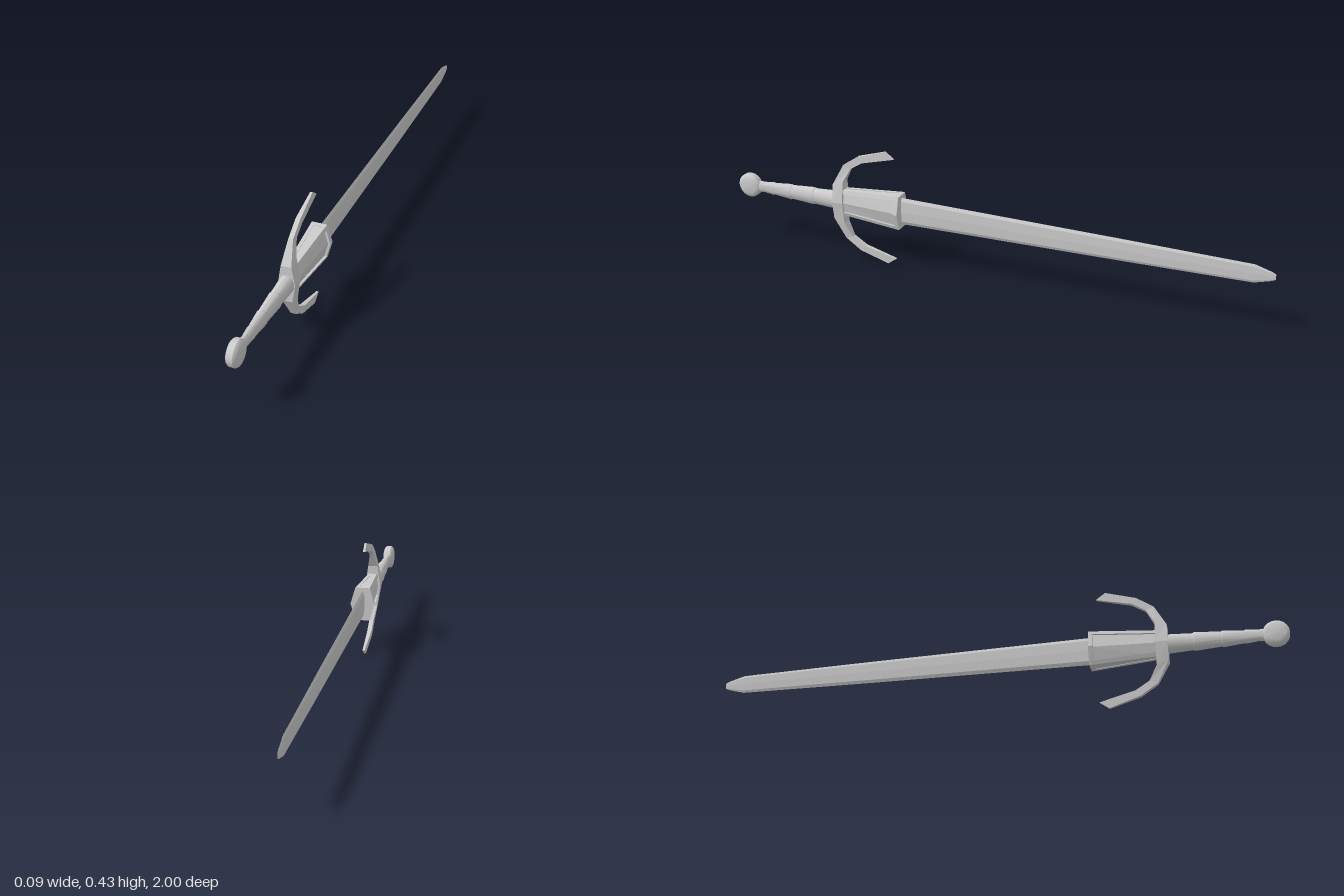
import * as THREE from 'three';
import { toCreasedNormals } from 'three/addons/utils/BufferGeometryUtils.js';

const CY = 0.217; // height of the sword's long axis
const flat = new THREE.MeshStandardMaterial({ color: 0xcccccc, flatShading: true });
const smooth = new THREE.MeshStandardMaterial({ color: 0xcccccc });

// Skin a list of closed rings of [x, y, z], counter-clockwise about the travel direction
function loft(rings) {
  const n = rings[0].length, index = [];
  for (let i = 0; i < rings.length - 1; i++) {
    for (let j = 0; j < n; j++) {
      const k = (j + 1) % n, a = i * n, b = a + n;
      index.push(a + j, a + k, b + k, a + j, b + k, b + j);
    }
  }
  const last = (rings.length - 1) * n;
  for (let j = 1; j < n - 1; j++) index.push(0, j + 1, j, last, last + j, last + j + 1);
  const geo = new THREE.BufferGeometry();
  geo.setAttribute('position', new THREE.Float32BufferAttribute(rings.flat(2), 3));
  geo.setIndex(index);
  const out = geo.toNonIndexed();
  out.computeVertexNormals();
  return out;
}

// Upright hexagon: ridge half-width rx, half-width ex at half-height h
const hex = (z, rx, ex, h) =>
  [[rx, 0, z], [ex, h, z], [-ex, h, z], [-rx, 0, z], [-ex, -h, z], [ex, -h, z]];

export function createModel() {
  const sword = new THREE.Group();
  sword.name = 'sword';
  const body = new THREE.Group();
  body.name = 'swordBody';
  body.position.y = CY;
  sword.add(body);
  const add = (name, geo, mat = flat) => {
    const mesh = new THREE.Mesh(geo, mat);
    mesh.name = name;
    body.add(mesh);
    return mesh;
  };

  // Blade: shallow ridge, bevelled cutting edges, blunt pointed tip
  const bladeRing = (z, t, h) => [
    [t, 0, z], [t * 0.8, h * 0.75, z], [0, h, z], [-t * 0.8, h * 0.75, z],
    [-t, 0, z], [-t * 0.8, -h * 0.75, z], [0, -h, z], [t * 0.8, -h * 0.75, z]];
  add('blade', loft([
    bladeRing(-1, 0.001, 0.01), bladeRing(-0.985, 0.002, 0.017),
    bladeRing(-0.93, 0.004, 0.033), bladeRing(-0.46, 0.006, 0.041),
    bladeRing(0.4, 0.008, 0.052)]));

  // Hexagonal sleeve with recessed side panels
  add('sleeve', loft([hex(0.338, 0.036, 0.02, 0.061), hex(0.57, 0.02, 0.01, 0.046)]));

  // Raised rim at the sleeve mouth
  add('sleeveRim', loft([hex(0.33, 0.045, 0.027, 0.063), hex(0.346, 0.044, 0.026, 0.0625)]));

  // Raised borders along the four long edges of the sleeve
  const borderRing = (z, ex, h, sx, sy) => {
    const ring = [[ex - 0.012, h, z], [ex - 0.01, h - 0.013, z], [ex + 0.005, h - 0.013, z], [ex, h, z]]
      .map(([x, y, w]) => [x * sx, y * sy, w]);
    return sx * sy > 0 ? ring : ring.reverse();
  };
  for (const sx of [1, -1]) {
    for (const sy of [1, -1]) {
      add('sleeveBorder', loft([
        borderRing(0.34, 0.026, 0.063, sx, sy), borderRing(0.57, 0.015, 0.048, sx, sy)]));
    }
  }

  // Crossguard stations: outer z, outer y, inner z, inner y, half-width
  const stations = [
    [0.597, 0, 0.556, 0, 0.029],
    [0.597, 0.066, 0.556, 0.08, 0.018],
    [0.556, 0.143, 0.528, 0.132, 0.008],
    [0.497, 0.183, 0.48, 0.162, 0.008],
    [0.39, 0.217, 0.357, 0.193, 0.004]];
  const guardRing = ([oz, oy, iz, iy, w], s) =>
    [[w, oy * s, oz], [w, iy * s, iz], [-w, iy * s, iz], [-w, oy * s, oz]];
  add('crossguard', loft([
    ...stations.slice(1).reverse().map((p) => guardRing(p, -1)),
    ...stations.map((p) => guardRing(p, 1))]));

  // Grip: oval, tapering, with stepped bands
  const gripProfile = [[0, 0.58], [0.034, 0.58], [0.034, 0.6], [0.03, 0.68], [0.033, 0.685],
    [0.027, 0.775], [0.03, 0.78], [0.023, 0.85], [0.025, 0.855], [0.02, 0.9], [0.022, 0.905],
    [0.02, 0.925], [0, 0.925]].map(([r, z]) => new THREE.Vector2(r, z));
  const grip = new THREE.LatheGeometry(gripProfile, 16).rotateX(Math.PI / 2);
  const pos = grip.attributes.position;
  for (let i = 0; i < pos.count; i++) {
    // flatter towards the pommel
    pos.setX(i, pos.getX(i) * (0.78 - 0.5 * (pos.getZ(i) - 0.58)));
  }
  add('grip', toCreasedNormals(grip, 0.5), smooth);

  // Pommel: chamfered disc facing sideways
  const pommelProfile = [[0, -0.019], [0.03, -0.019], [0.04, -0.015], [0.045, -0.009],
    [0.045, 0.009], [0.04, 0.015], [0.03, 0.019], [0, 0.019]].map(([r, x]) => new THREE.Vector2(r, x));
  const pommel = new THREE.LatheGeometry(pommelProfile, 20).rotateZ(-Math.PI / 2);
  add('pommel', toCreasedNormals(pommel, 0.6), smooth).position.z = 0.955;

  return sword;
}
